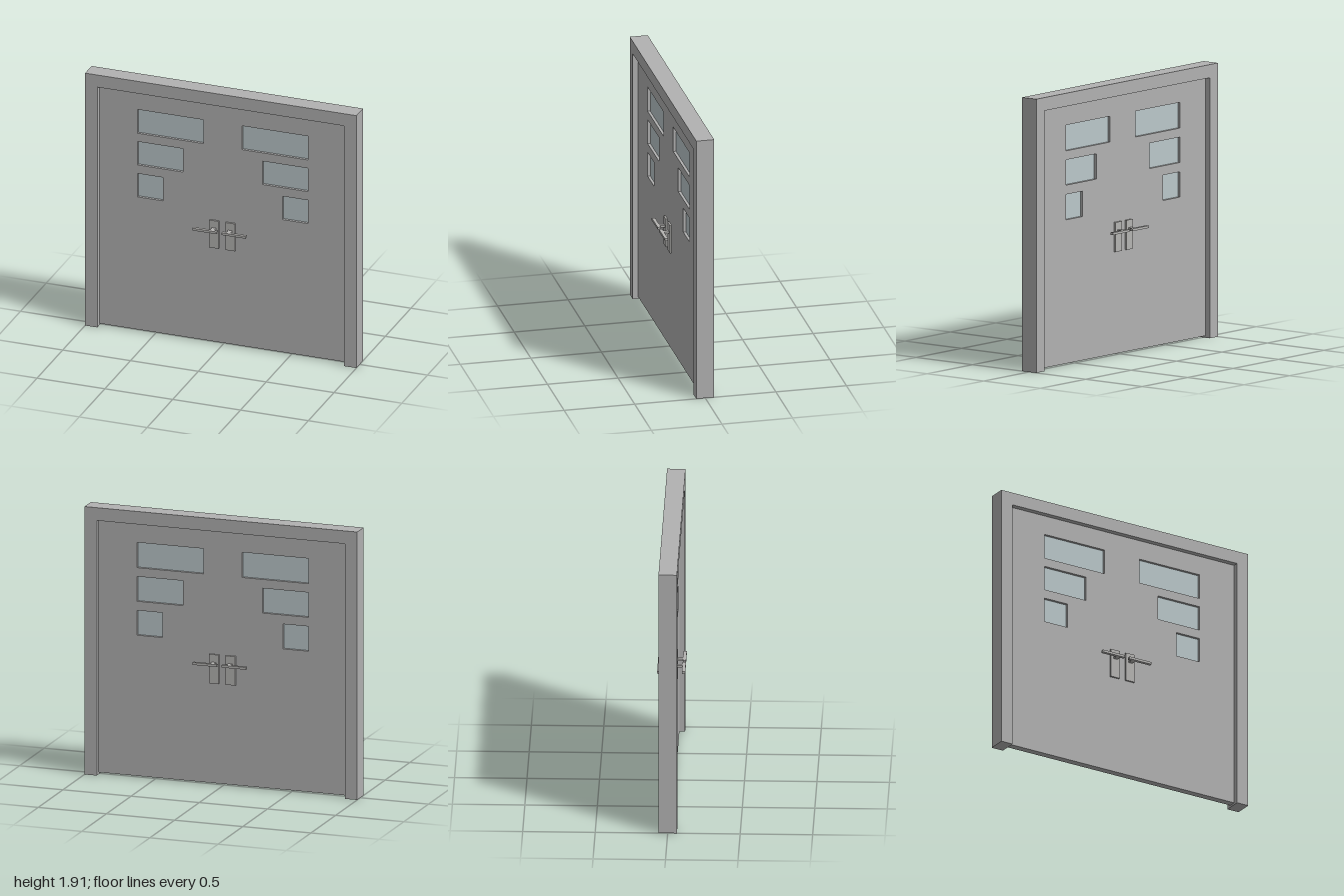
import * as THREE from 'three';

export function createModel() {
  const model = new THREE.Group();
  model.name = 'doubleDoor';

  const material = (name, color) => {
    const m = new THREE.MeshStandardMaterial({ color });
    m.name = name;
    return m;
  };
  const paint = material('grey paint', 0xb1b1b1);
  const glass = material('pale glass', 0xbac7ca);
  const metal = material('handle metal', 0xb5b4b2);

  const rect = (Type, x0, x1, y0, y1) => {
    const p = new Type();
    p.moveTo(x0, y0);
    p.lineTo(x1, y0);
    p.lineTo(x1, y1);
    p.lineTo(x0, y1);
    p.closePath();
    return p;
  };
  const slab = (name, shape, depth, mat) => {
    const geo = new THREE.ExtrudeGeometry(shape, { depth, bevelEnabled: false });
    geo.translate(0, 0, -depth / 2);
    const mesh = new THREE.Mesh(geo, mat);
    mesh.name = name;
    model.add(mesh);
  };
  const box = (parent, name, x0, x1, y0, y1, z0, z1, mat) => {
    const mesh = new THREE.Mesh(new THREE.BoxGeometry(x1 - x0, y1 - y0, z1 - z0), mat);
    mesh.position.set((x0 + x1) / 2, (y0 + y1) / 2, (z0 + z1) / 2);
    mesh.name = name;
    parent.add(mesh);
  };

  // Frame: two posts and a head in one piece
  const frame = new THREE.Shape();
  [[-1, 0], [-0.91, 0], [-0.91, 1.82], [0.91, 1.82], [0.91, 0], [1, 0], [1, 1.912], [-1, 1.912]]
    .forEach(([x, y], i) => (i ? frame.lineTo(x, y) : frame.moveTo(x, y)));
  frame.closePath();
  slab('frame', frame, 0.127, paint);

  // Door panel with stepped rows of window openings
  const panel = rect(THREE.Shape, -0.91, 0.91, 0.014, 1.82);
  const rows = [[0.142, 1.5, 1.68], [0.292, 1.26, 1.437], [0.442, 1.018, 1.195]];
  for (const [inner, y0, y1] of rows) {
    for (const [x0, x1] of [[-0.628, -inner], [inner, 0.628]]) {
      panel.holes.push(rect(THREE.Path, x0, x1, y0, y1));
      box(model, 'windowPane', x0, x1, y0, y1, -0.006, 0.006, glass);
    }
  }
  slab('doorPanel', panel, 0.05, paint);

  // Handle sets on both faces of both leaves
  for (const front of [1, -1]) {
    for (const side of [1, -1]) {
      const handle = new THREE.Group();
      handle.name = 'handle';
      const span = (a, b) => [Math.min(a * side, b * side), Math.max(a * side, b * side)];
      const depth = (a, b) => [Math.min(a * front, b * front), Math.max(a * front, b * front)];
      box(handle, 'backPlate', ...span(0.025, 0.096), 0.727, 0.934, ...depth(0.025, 0.038), metal);
      box(handle, 'spindle', ...span(0.046, 0.075), 0.865, 0.88, ...depth(0.036, 0.08), metal);
      box(handle, 'lever', ...span(0.018, 0.197), 0.864, 0.881, ...depth(0.074, 0.097), metal);
      model.add(handle);
    }
  }

  return model;
}
